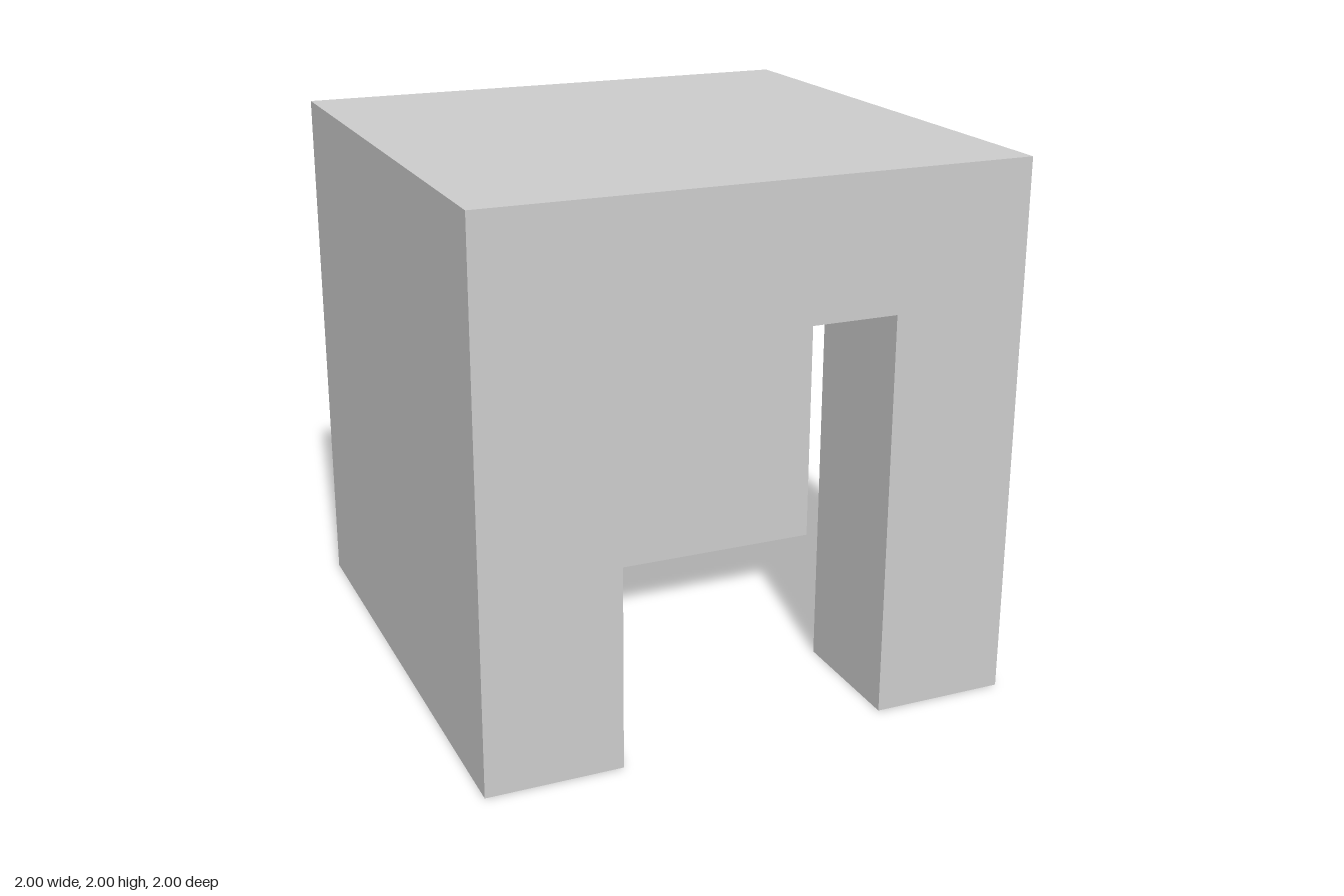
import * as THREE from 'three';

const SIZE = 2, WALL = 0.5, OPENING = 1.5;

export function createModel() {
  const model = new THREE.Group();
  model.name = 'openCornerBlock';
  const grey = new THREE.MeshStandardMaterial({ color: 0xcccccc });
  grey.name = 'light grey';

  const add = (name, geometry, x, y, z) => {
    const mesh = new THREE.Mesh(geometry, grey);
    mesh.name = name;
    mesh.position.set(x, y, z);
    model.add(mesh);
    return mesh;
  };

  // Roof slab over the whole block
  const slab = SIZE - OPENING;
  add('roof', new THREE.BoxGeometry(SIZE, slab, SIZE), 0, OPENING + slab / 2, 0);

  // Solid L-shaped wall along the back and the -x side (plan drawn as x, -z)
  const h = SIZE / 2, i = h - WALL;
  const plan = new THREE.Shape([
    [-h, -h], [-i, -h], [-i, i], [h, i], [h, h], [-h, h],
  ].map(([x, y]) => new THREE.Vector2(x, y)));
  const wall = new THREE.ExtrudeGeometry(plan, { depth: OPENING, bevelEnabled: false });
  wall.rotateX(-Math.PI / 2);
  add('cornerWall', wall, 0, 0, 0);

  // Free-standing post at the open front corner
  const c = h - WALL / 2;
  add('cornerPost', new THREE.BoxGeometry(WALL, OPENING, WALL), c, OPENING / 2, c);

  return model;
}
